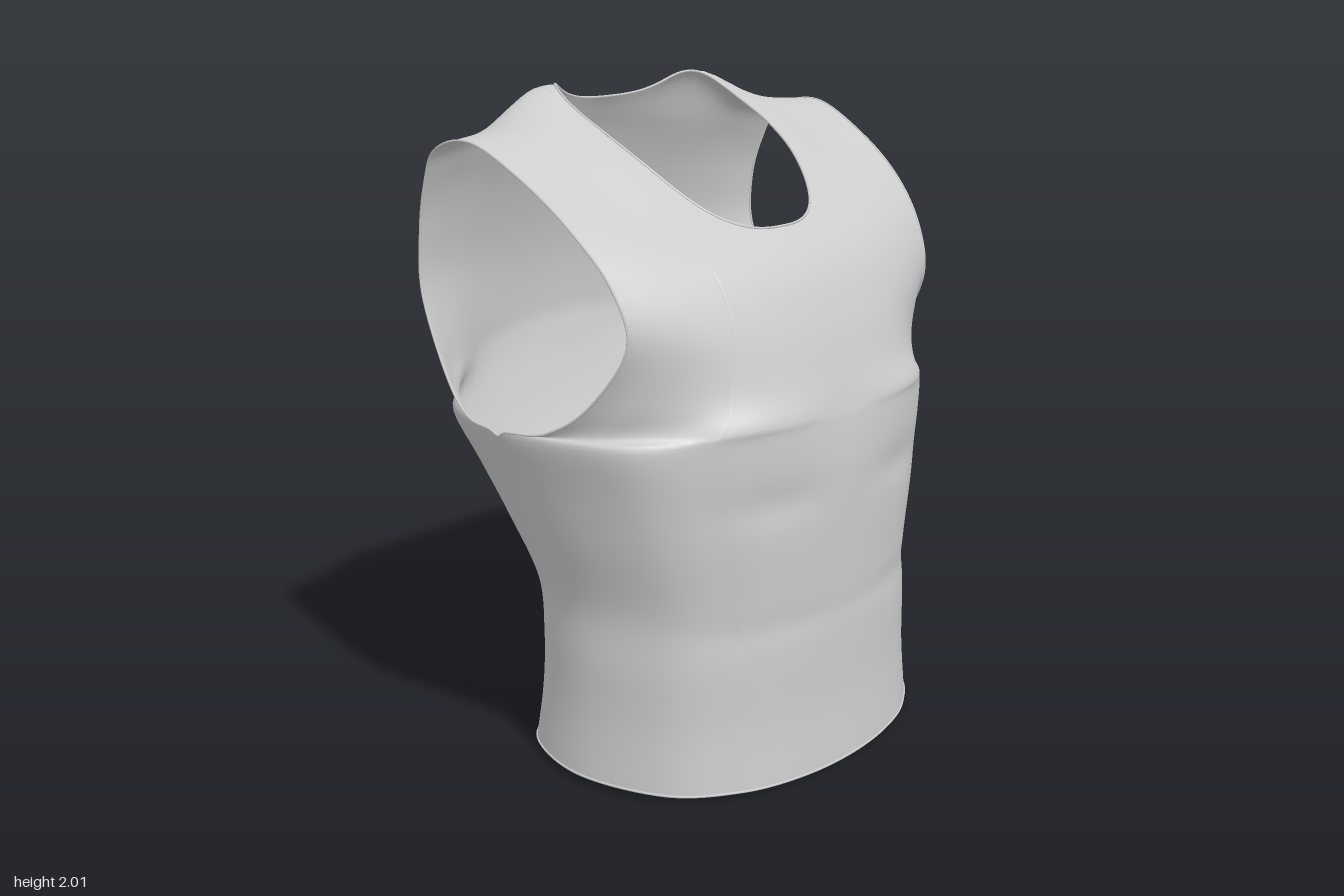
import * as THREE from 'three';
import { mergeVertices } from 'three/addons/utils/BufferGeometryUtils.js';

// Waist rings, hem to underarm: height, half width, front z, side z, back z
const rings = [
  [0.004, .658, .588, .08, -.33],
  [0.2, .64, .576, .085, -.305],
  [0.37, .634, .575, .09, -.3],
  [0.55, .63, .575, .08, -.33],
  [0.75, .685, .58, .04, -.425],
  [0.92, .74, .583, -.02, -.505],
  [1.07, .8, .57, -.08, -.555],
];
// Yoke sections, up the chest, over the shoulder and down the back:
// centre y, centre z, armhole x, y, z, collar lift
const yoke = [
  [1.12, .56, .775, 1.1, .08],
  [1.2, .54, .735, 1.19, .22],
  [1.36, .49, .69, 1.37, .335],
  [1.51, .415, .705, 1.53, .295],
  [1.63, .29, .735, 1.67, .18],
  [1.76, .1, .755, 1.79, .02, .028],
  [1.93, -.15, .77, 1.885, -.18, .018],
  [1.975, -.34, .765, 1.855, -.34, .068],
  [1.87, -.435, .755, 1.75, -.405],
  [1.68, -.515, .745, 1.6, -.445],
  [1.47, -.57, .75, 1.42, -.44],
  [1.27, -.59, .775, 1.2, -.32],
  [1.18, -.58, .795, 1.1, -.21],
];
const UNDERARM = 6, SHOULDER = 13, LAST = 26;
const { lerp } = THREE.MathUtils;

// Share of the half width reached by each control column
const ringShare = [0, .33, .62, .88, 1], shoulderShare = [0, .22, .457, .72, 1];

// Half of a waist ring as a superellipse; the hem rises towards the back
const ringRow = ([y, w, front, side, rear], back) => ringShare.map((f, c) => {
  const n = back ? 2.6 : 2.3;
  const depth = Math.pow(1 - Math.pow(f, n), 1 / n);
  const tilt = 0.036 * Math.max(0, 1 - y / 0.2) * (back ? 8 - c : c) / 8;
  return new THREE.Vector3(w * f, y + tilt, lerp(side, back ? rear : front, depth));
});

// Yoke section that grows rounder away from the shoulder
const yokeRow = ([cy, cz, ax, ay, az, lift = 0], i) => shoulderShare.map((s, c) => {
  const k = Math.abs(i - 6) / 7;
  const f = lerp(s, ringShare[c], k);
  const bend = Math.pow(f, 1.2 + 3.2 * k * k);
  const collar = c === 2 ? lift : c === 1 ? lift / 2 : 0;
  return new THREE.Vector3(ax * f, lerp(cy, ay, bend) + collar, lerp(cz, az, bend));
});

const rows = [
  ...rings.map((r) => ringRow(r, false)),
  ...yoke.map(yokeRow),
  ...rings.map((r) => ringRow(r, true)).reverse(),
];

// Catmull-Rom through a list of points with chosen ghost points at the ends
function spline(points, t, before, after) {
  const n = points.length - 1;
  const i = Math.min(Math.floor(t), n - 1), f = t - i;
  const at = (k) => (k < 0 ? before : k > n ? after : points[k]);
  const [a, b, c, d] = [at(i - 1), at(i), at(i + 1), at(i + 2)];
  const mix = (key) => 0.5 * (2 * b[key] + (c[key] - a[key]) * f
    + (2 * a[key] - 5 * b[key] + 4 * c[key] - d[key]) * f * f
    + (3 * b[key] - a[key] - 3 * c[key] + d[key]) * f * f * f);
  return new THREE.Vector3(mix('x'), mix('y'), mix('z'));
}
const extend = (a, b) => a.clone().multiplyScalar(2).sub(b);

// Smooth draped sheet: u from centre to side, v from front hem to back hem
function sheet(u, v) {
  const line = rows.map((row, i) => {
    const mirrored = new THREE.Vector3(-row[1].x, row[1].y, row[1].z);
    const closed = i <= UNDERARM || i >= LAST - UNDERARM;
    return spline(row, u, mirrored, closed ? rows[LAST - i][3] : extend(row[4], row[3]));
  });
  return spline(line, v, extend(line[0], line[1]), extend(line[LAST], line[LAST - 1]));
}

// Neck opening as seen from above
function inNeck(p) {
  const dz = p.z + 0.15;
  const n = dz > 0 ? 2.4 : 3;
  const reach = dz > 0 ? dz / 0.46 : -dz / 0.24;
  return Math.pow(reach, n) + Math.pow(Math.abs(p.x) / 0.347, n) < 1;
}
function neckEdge(u, outside) {
  if (u >= 2 || !inNeck(sheet(u, SHOULDER))) return SHOULDER;
  let lo = outside, hi = SHOULDER;
  for (let i = 0; i < 18; i++) {
    const mid = (lo + hi) / 2;
    if (inNeck(sheet(u, mid))) hi = mid; else lo = mid;
  }
  return lo;
}

// Soft chest and belly relief: x, y, width, height, depth
const folds = [[.3, 1.08, .2, .1, .012], [.3, .88, .18, .06, -.012], [.3, .5, .3, .04, -.006]];

function clothPoint(u, v) {
  const a = Math.abs(u);
  const p = sheet(a, v);
  // Both panels meet on one side seam below the armhole
  if (a === 4 && Math.min(v, LAST - v) <= UNDERARM + 1e-6) p.lerp(sheet(a, LAST - v), 0.5);
  if (v < SHOULDER && p.z > 0.2) {
    const fade = Math.min(1, (p.z - 0.2) / 0.2);
    for (const [x, y, w, h, d] of folds) {
      p.z += fade * d * Math.exp(-(((p.x - x) / w) ** 2) - ((p.y - y) / h) ** 2);
    }
  }
  if (u < 0) p.x = -p.x;
  p.x -= 0.022 * (1 - Math.min(1, Math.abs(p.x / 0.81) ** 6));
  return p;
}

// Columns crowd together towards the side of the neck
const INNER = 20, OUTER = 14, STEPS = 78;
const columns = [];
for (let j = -INNER - OUTER; j <= INNER + OUTER; j++) {
  const k = Math.abs(j);
  const u = k <= INNER ? 2 * Math.sin((k / INNER) * Math.PI / 2) : 2 + 2 * (k - INNER) / OUTER;
  columns.push(Math.sign(j) * u);
}

// Front and back panels, each running from hem to neckline or shoulder
function bodyGeometry(edges) {
  const pos = [], index = [];
  for (const back of [false, true]) {
    const side = back ? 1 : 0;
    const start = pos.length / 3, w = STEPS + 1;
    columns.forEach((u, j) => {
      const end = neckEdge(Math.abs(u), back ? 19 : 8);
      for (let k = 0; k <= STEPS; k++) {
        const v = back ? LAST - (LAST - end) * k / STEPS : end * k / STEPS;
        const p = clothPoint(u, v);
        pos.push(p.x, p.y, p.z);
        if (k === 0) edges.hem[side].push(p);
        if (k === STEPS && Math.abs(u) < 2) edges.neck[side].push(p);
        if (j && k) {
          const d = start + j * w + k, c = d - 1, b = d - w, a = b - 1;
          if (back) index.push(a, b, c, b, d, c);
          else index.push(a, c, b, b, c, d);
        }
      }
    });
  }
  const g = new THREE.BufferGeometry();
  g.setAttribute('position', new THREE.Float32BufferAttribute(pos, 3));
  g.setIndex(index);
  const merged = mergeVertices(g, 1e-4);
  merged.computeVertexNormals();
  return merged;
}

export function createModel() {
  const group = new THREE.Group();
  const cloth = new THREE.MeshStandardMaterial({ color: 0xcccccc, side: THREE.DoubleSide });
  cloth.name = 'grey cloth';
  const add = (name, geometry) => {
    const mesh = new THREE.Mesh(geometry, cloth);
    mesh.name = name;
    group.add(mesh);
  };

  const edges = { hem: [[], []], neck: [[], []] };
  add('shirtBody', bodyGeometry(edges));

  // Fine rolled edges round each opening
  const rolled = (name, points) => {
    const clean = points.filter((p, i) => p.distanceTo(points[(i + 1) % points.length]) > 0.004);
    add(name, new THREE.TubeGeometry(new THREE.CatmullRomCurve3(clean, true), 160, 0.004, 6, true));
  };
  rolled('bottomHem', [...edges.hem[0], ...edges.hem[1].reverse()]);
  rolled('neckHem', [...edges.neck[0], ...edges.neck[1].reverse()]);
  for (const [name, u] of [['leftArmHem', 4], ['rightArmHem', -4]]) {
    const loop = [];
    for (let k = 0; k < 56; k++) loop.push(clothPoint(u, UNDERARM + k / 4));
    rolled(name, loop);
  }
  return group;
}
